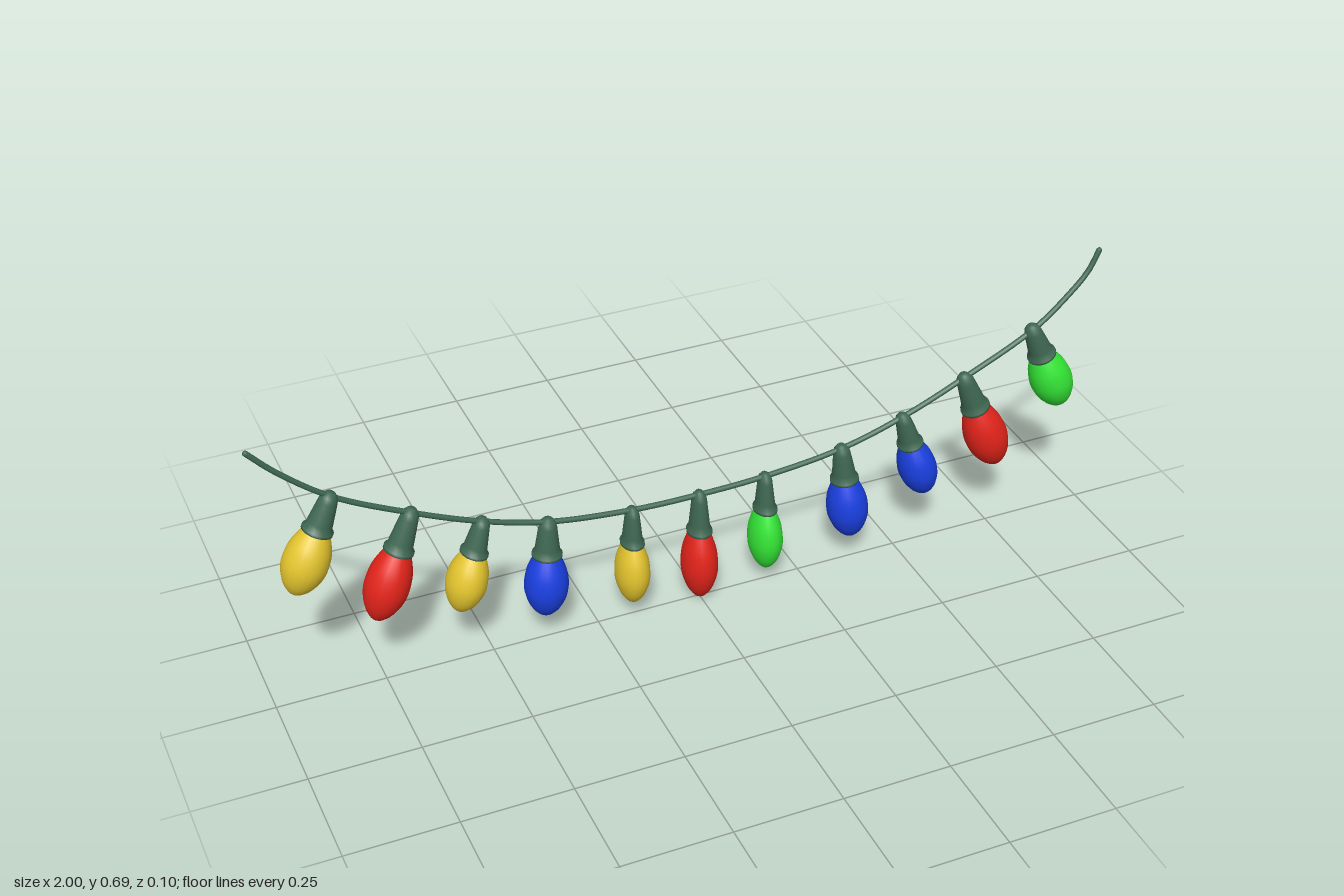
import * as THREE from 'three';

const mat = (name, color, side = THREE.FrontSide) => {
  const m = new THREE.MeshStandardMaterial({ color, side });
  m.name = name;
  return m;
};

export function createModel() {
  const group = new THREE.Group();
  group.name = 'stringLights';

  const wireGreen = mat('wireGreen', 0x3f6852, THREE.DoubleSide);
  const red = mat('red', 0xe3241a);
  const yellow = mat('yellow', 0xe4c52e);
  const blue = mat('blue', 0x1a40e2);
  const green = mat('green', 0x34e636);

  const add = (parent, name, geometry, material) => {
    const mesh = new THREE.Mesh(geometry, material);
    mesh.name = name;
    parent.add(mesh);
    return mesh;
  };

  // Sagging cable
  const path = [
    [-0.995, 0.665], [-0.94, 0.605], [-0.83, 0.513], [-0.67, 0.427], [-0.51, 0.357],
    [-0.36, 0.312], [-0.16, 0.287], [0, 0.283], [0.16, 0.288], [0.355, 0.312],
    [0.51, 0.358], [0.67, 0.427], [0.84, 0.513], [0.92, 0.58], [0.97, 0.635], [0.994, 0.685],
  ].map(([x, y]) => new THREE.Vector3(x, y, 0));
  add(group, 'cable', new THREE.TubeGeometry(new THREE.CatmullRomCurve3(path), 90, 0.0065, 8), wireGreen);
  for (const end of [path[0], path[path.length - 1]]) {
    add(group, 'cableEnd', new THREE.SphereGeometry(0.0065, 8, 6), wireGreen).position.copy(end);
  }

  // Profiles run from bottom to top; height is a fraction of the lamp length
  const lathe = (points) => new THREE.LatheGeometry(
    points.map(([r, t]) => new THREE.Vector2(r, -t)), 20);
  const socketShape = lathe([
    [0, 0.375], [0.028, 0.375], [0.035, 0.36], [0.035, 0.335], [0.029, 0.315], [0.028, 0.27],
    [0.024, 0.15], [0.021, 0.06], [0.018, 0.01], [0.01, -0.025], [0, -0.03],
  ]);
  const outline = new THREE.SplineCurve([
    [0, 1], [0.016, 0.975], [0.035, 0.89], [0.047, 0.78], [0.051, 0.67],
    [0.047, 0.54], [0.037, 0.43], [0.026, 0.34],
  ].map(([r, t]) => new THREE.Vector2(r, t)));
  const bulbShape = lathe(outline.getPoints(20).map((p) => [Math.max(p.x, 0), p.y]));

  // Lamps: top x, y, tip x, y, colour, sideways width factor
  const lamps = [
    [-0.832, 0.518, -0.932, 0.29, yellow, 1],
    [-0.663, 0.428, -0.762, 0.168, red, 0.98],
    [-0.508, 0.36, -0.575, 0.135, yellow, 0.9],
    [-0.36, 0.315, -0.375, 0.063, blue, 0.98],
    [-0.162, 0.288, -0.166, 0.036, yellow, 0.77],
    [0, 0.285, 0, 0, red, 0.82],
    [0.162, 0.29, 0.166, 0.034, green, 0.77],
    [0.353, 0.315, 0.385, 0.062, blue, 0.95],
    [0.507, 0.36, 0.577, 0.132, blue, 0.88],
    [0.662, 0.428, 0.767, 0.163, red, 1],
    [0.832, 0.518, 0.93, 0.288, green, 0.98],
  ];
  for (const [x, y, tipX, tipY, colour, width] of lamps) {
    const lamp = new THREE.Group();
    lamp.name = 'lamp';
    lamp.position.set(x, y, 0);
    lamp.rotation.z = Math.atan2(tipX - x, y - tipY);
    lamp.scale.set(width, Math.hypot(tipX - x, tipY - y), 1);
    add(lamp, 'socket', socketShape, wireGreen);
    add(lamp, 'bulb', bulbShape, colour);
    group.add(lamp);
  }
  return group;
}
